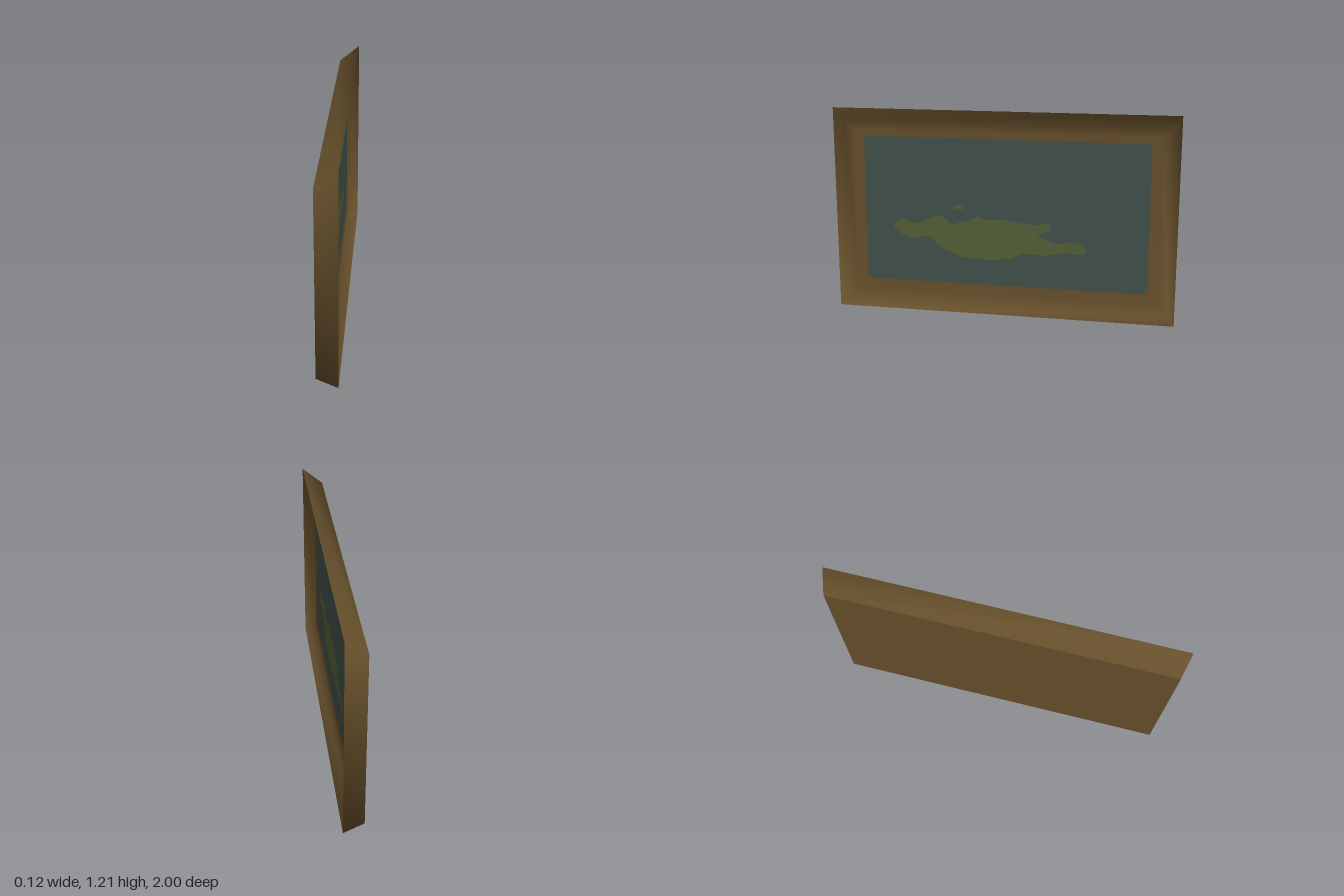
import * as THREE from 'three';

const frameBrown = new THREE.MeshStandardMaterial({ color: 0x664f2b });
const canvasTeal = new THREE.MeshStandardMaterial({ color: 0x3f4f49 });
const paintGreen = new THREE.MeshStandardMaterial({ color: 0x535e36 });

// Joins rectangular rings [halfWidth, bottom, top, depth] with smooth bands.
function loftRings(rings) {
  const pos = [], index = [];
  for (const [w, lo, hi, d] of rings) pos.push(-w, lo, d, w, lo, d, w, hi, d, -w, hi, d);
  for (let r = 0; r < rings.length - 1; r++) {
    for (let i = 0; i < 4; i++) {
      const j = (i + 1) % 4, a = r * 4, b = a + 4;
      index.push(a + i, b + i, a + j, b + i, b + j, a + j);
    }
  }
  const geo = new THREE.BufferGeometry();
  geo.setAttribute('position', new THREE.Float32BufferAttribute(pos, 3));
  geo.setIndex(index);
  geo.computeVertexNormals();
  return geo;
}

// Rectangle with slightly rounded corners
function roundedRect(x0, y0, x1, y1, r) {
  const s = new THREE.Shape();
  s.absarc(x1 - r, y0 + r, r, -Math.PI / 2, 0);
  s.absarc(x1 - r, y1 - r, r, 0, Math.PI / 2);
  s.absarc(x0 + r, y1 - r, r, Math.PI / 2, Math.PI);
  s.absarc(x0 + r, y0 + r, r, Math.PI, Math.PI * 1.5);
  s.closePath();
  return s;
}

export function createModel() {
  const group = new THREE.Group();
  // Built facing +z, then turned so the picture faces +x
  const picture = new THREE.Group();
  picture.name = 'framedPicture';
  picture.rotation.y = Math.PI / 2;
  group.add(picture);

  const add = (name, geo, mat, depth = 0) => {
    const mesh = new THREE.Mesh(geo, mat);
    mesh.name = name;
    mesh.position.z = depth;
    picture.add(mesh);
    return mesh;
  };

  const rim = [1, 0, 1.205, 0.06];
  const back = [0.972, 0.03, 1.115, -0.06];

  // Tapered outer sides, and the tray-like front inside the rim
  add('frameSides', loftRings([rim, back]), frameBrown);
  add('frameFront', loftRings([
    [0.82, 0.18, 1.01, -0.012],
    [0.9, 0.1, 1.07, -0.012],
    [0.96, 0.03, 1.12, -0.005],
    rim,
  ]), frameBrown);

  // Flat back panel
  const panel = new THREE.PlaneGeometry(back[0] * 2, back[2] - back[1]);
  panel.rotateY(Math.PI).translate(0, (back[1] + back[2]) / 2, back[3]);
  add('backPanel', panel, frameBrown);

  // Picture surface
  const canvas = new THREE.ShapeGeometry(roundedRect(-0.84, 0.16, 0.84, 1.035, 0.02), 4);
  add('canvas', canvas, canvasTeal, -0.008);

  // Painted patch
  const outline = [
    [-0.67, 0.49], [-0.65, 0.53], [-0.61, 0.545], [-0.56, 0.52], [-0.52, 0.52],
    [-0.44, 0.555], [-0.38, 0.575], [-0.35, 0.555], [-0.31, 0.515], [-0.27, 0.535],
    [-0.22, 0.545], [-0.15, 0.58], [-0.11, 0.555], [-0.03, 0.565], [0.07, 0.55],
    [0.19, 0.54], [0.25, 0.555], [0.28, 0.54], [0.265, 0.505], [0.2, 0.485],
    [0.22, 0.465], [0.31, 0.435], [0.37, 0.445], [0.41, 0.44], [0.44, 0.45],
    [0.485, 0.415], [0.48, 0.385], [0.44, 0.375], [0.37, 0.385], [0.26, 0.36],
    [0.1, 0.365], [0.05, 0.33], [-0.09, 0.315], [-0.25, 0.325], [-0.36, 0.365],
    [-0.41, 0.4], [-0.44, 0.44], [-0.51, 0.435], [-0.54, 0.425], [-0.62, 0.445],
  ];
  const patch = new THREE.Shape(outline.map(([x, y]) => new THREE.Vector2(x, y)));
  add('paintedPatch', new THREE.ShapeGeometry(patch), paintGreen, -0.005);

  // Small painted fleck above the patch
  const fleck = new THREE.CircleGeometry(1, 16);
  fleck.scale(0.037, 0.015, 1).rotateZ(0.2).translate(-0.27, 0.625, 0);
  add('paintedFleck', fleck, paintGreen, -0.005);

  return group;
}
